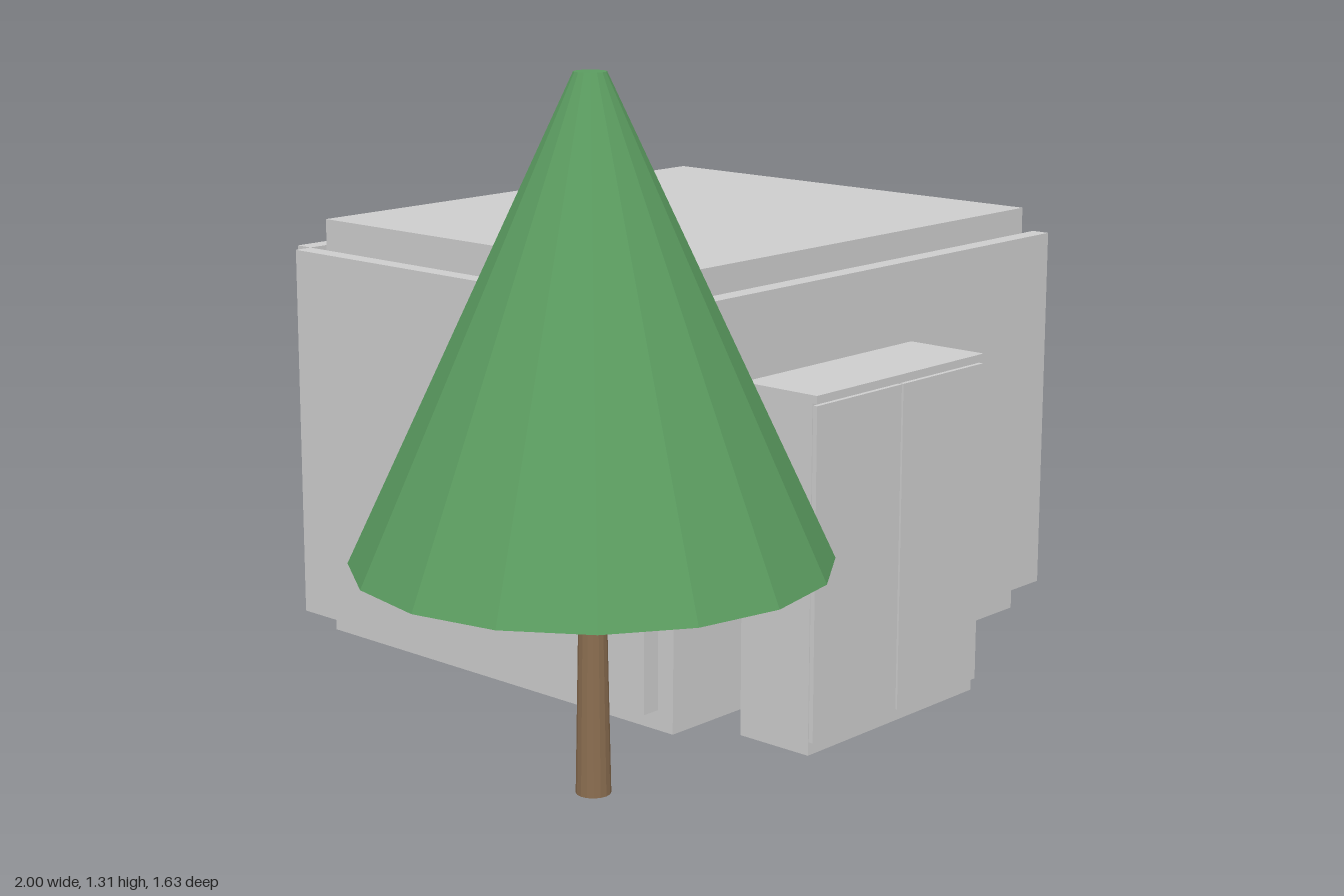
import * as THREE from 'three';

const mat = (name, color, flatShading = false) => {
  const m = new THREE.MeshStandardMaterial({ color, flatShading });
  m.name = name;
  return m;
};

// Box given by its extents on each axis
function slab(parent, name, material, [x0, x1], [y0, y1], [z0, z1]) {
  const mesh = new THREE.Mesh(new THREE.BoxGeometry(x1 - x0, y1 - y0, z1 - z0), material);
  mesh.position.set((x0 + x1) / 2, (y0 + y1) / 2, (z0 + z1) / 2);
  mesh.name = name;
  parent.add(mesh);
  return mesh;
}

export function createModel() {
  const model = new THREE.Group();
  model.name = 'houseBlockWithTree';
  const grey = mat('light grey', 0xcccccc);
  const green = mat('leaf green', 0x5b9c60, true);
  const brown = mat('bark brown', 0x8a6d50, true);

  // Main block with wall panels on the front, back and one side
  const house = new THREE.Group();
  house.name = 'house';
  model.add(house);
  const wallY = [0.06, 0.835];
  slab(house, 'mainBlock', grey, [-0.155, 0.955], [0, 0.89], [-0.778, 0.196]);
  slab(house, 'frontWall', grey, [-0.197, 0.997], wallY, [0.196, 0.235]);
  slab(house, 'backWall', grey, [-0.197, 0.997], wallY, [-0.82, -0.78]);
  slab(house, 'sideWall', grey, [-0.236, -0.197], wallY, [-0.78, 0.196]);

  // Narrow door leaf in the gap behind the side wall
  slab(house, 'sideDoor', grey, [-0.195, -0.155], [0.06, 0.725], [-0.46, 0.085]);

  // Cabinet with a recessed plinth, overhanging top and two doors
  const cabinet = new THREE.Group();
  cabinet.name = 'cabinet';
  model.add(cabinet);
  slab(cabinet, 'cabinetBody', grey, [-0.195, 0.3], [0.06, 0.71], [0.4, 0.56]);
  slab(cabinet, 'cabinetTop', grey, [-0.195, 0.3], [0.71, 0.725], [0.4, 0.57]);
  for (const [name, x] of [['rightDoor', [-0.193, 0.05]], ['leftDoor', [0.055, 0.3]]]) {
    slab(cabinet, name, grey, x, [0.085, 0.706], [0.56, 0.569]);
  }

  // Conical tree
  const tree = new THREE.Group();
  tree.name = 'tree';
  tree.position.set(-0.585, 0, 0.4);
  model.add(tree);
  const cone = (name, material, top, bottom, y0, y1) => {
    const mesh = new THREE.Mesh(new THREE.CylinderGeometry(top, bottom, y1 - y0, 16), material);
    mesh.position.y = (y0 + y1) / 2;
    mesh.name = name;
    tree.add(mesh);
  };
  cone('trunk', brown, 0.022, 0.031, 0.06, 0.52);
  cone('foliage', green, 0.028, 0.415, 0.477, 1.308);

  return model;
}
